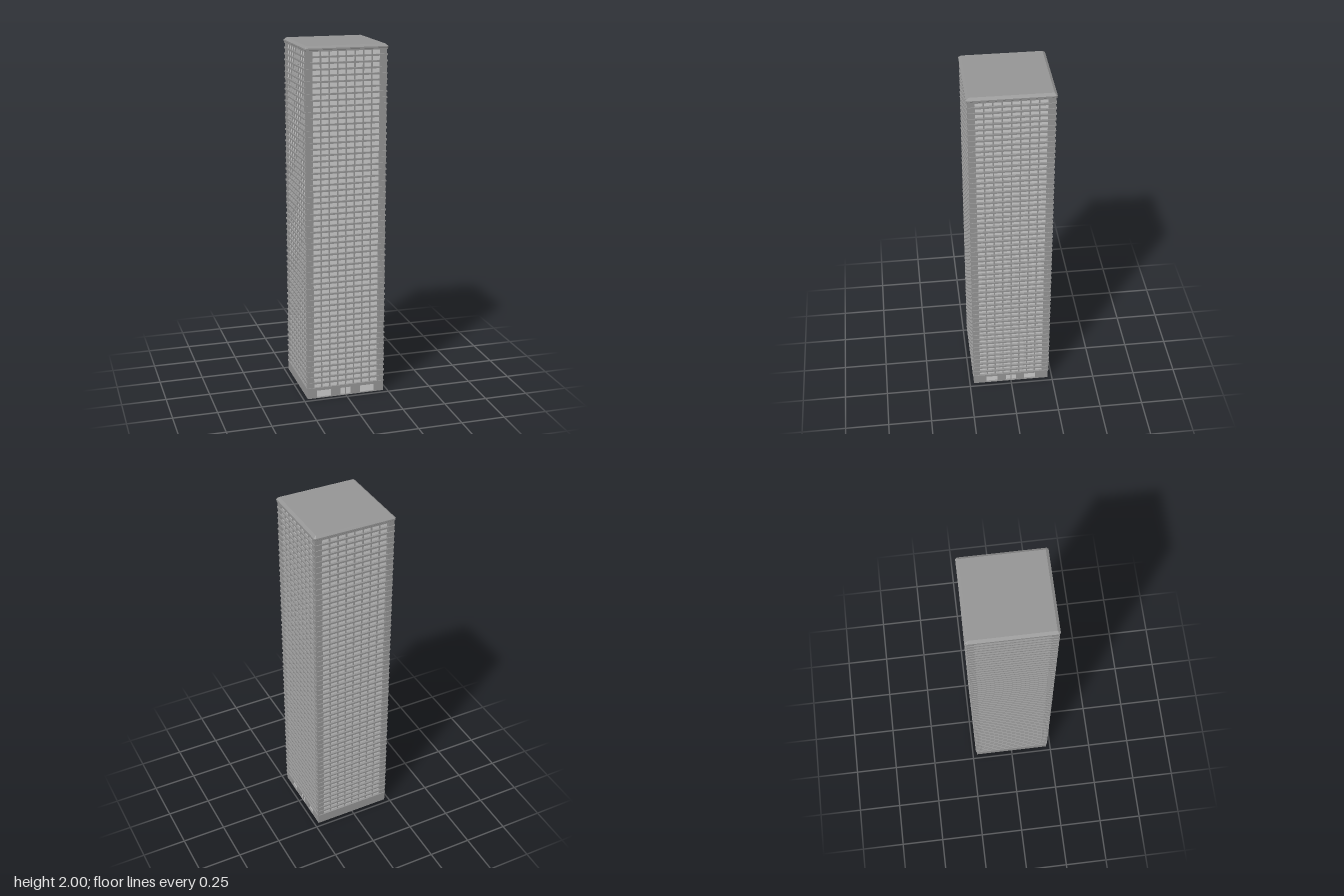
import * as THREE from 'three';
import { ConvexGeometry } from 'three/addons/geometries/ConvexGeometry.js';

const FLOORS = 58, COLUMNS = 8;
const BASE_TOP = 0.06, ROOF = 1.975;
const HALF = 0.225, GLASS = 0.217, BAY = 0.19;

export function createModel() {
  const tower = new THREE.Group();
  tower.name = 'tower';
  const stone = new THREE.MeshStandardMaterial({ color: 0x949494, flatShading: true });
  const glass = new THREE.MeshStandardMaterial({ color: 0xcccccc, flatShading: true });

  function add(parent, name, geometry, material, x = 0, y = 0, z = 0) {
    const mesh = new THREE.Mesh(geometry, material);
    mesh.name = name;
    mesh.position.set(x, y, z);
    parent.add(mesh);
    return mesh;
  }
  const box = (w, h, d) => new THREE.BoxGeometry(w, h, d);

  // Glazed core behind the facades
  const shaft = ROOF - BASE_TOP, middle = (ROOF + BASE_TOP) / 2;
  add(tower, 'glassCore', box(GLASS * 2, shaft, GLASS * 2), glass, 0, middle, 0);

  // Corner piers
  const pierWidth = HALF - BAY;
  for (const sx of [-1, 1]) for (const sz of [-1, 1]) {
    const c = BAY + pierWidth / 2;
    add(tower, 'cornerPier', box(pierWidth, shaft, pierWidth), stone, sx * c, middle, sz * c);
  }

  // Ground floor wall; openings are [centre, width] along the wall
  function groundWall(side, openings) {
    const top = 0.046, sill = 0.004;
    const shape = new THREE.Shape();
    shape.moveTo(-HALF, 0).lineTo(HALF, 0).lineTo(HALF, BASE_TOP).lineTo(-HALF, BASE_TOP).closePath();
    for (const [c, w] of openings) {
      const hole = new THREE.Path();
      hole.moveTo(c - w / 2, sill).lineTo(c - w / 2, top).lineTo(c + w / 2, top).lineTo(c + w / 2, sill).closePath();
      shape.holes.push(hole);
      add(side, 'groundGlass', box(w, top - sill, 0.002), glass, c, (top + sill) / 2, HALF - 0.011);
    }
    const wall = new THREE.ExtrudeGeometry(shape, { depth: 0.012, bevelEnabled: false });
    add(side, 'groundWall', wall, stone, 0, 0, HALF - 0.012);
    // Frames of the middle entrance
    if (openings.length) for (const x of [-0.038, 0, 0.038]) {
      add(side, 'doorPost', box(x ? 0.014 : 0.005, top, 0.008), stone, x, top / 2, HALF - 0.007);
    }
  }

  // Storey bands and mullions, the same on all four sides
  const pitch = shaft / FLOORS, step = BAY * 2 / COLUMNS;
  const band = box(0.446, 0.0095, 0.015);
  const mullion = box(0.007, shaft, 0.006);
  const wallOpenings = [
    [[-0.128, 0.085], [0, 0.09], [0.128, 0.085]],
    [[-0.115, 0.068], [0, 0.09], [0.115, 0.068]],
    [], []
  ];
  ['frontSide', 'leftSide', 'backSide', 'rightSide'].forEach((name, i) => {
    const side = new THREE.Group();
    side.name = name;
    side.rotation.y = i * Math.PI / 2;
    for (let f = 0; f <= FLOORS; f++) {
      add(side, 'storeyBand', band, stone, 0, BASE_TOP + f * pitch, 0.2225);
    }
    for (let c = 0; c <= COLUMNS; c++) {
      add(side, 'mullion', mullion, stone, -BAY + c * step, middle, GLASS + 0.002);
    }
    groundWall(side, wallOpenings[i]);
    tower.add(side);
  });

  // Floor slab
  add(tower, 'baseSlab', box(0.44, 0.004, 0.44), stone, 0, 0.002, 0);

  // Chamfered roof cap
  const points = [];
  for (const sx of [-1, 1]) for (const sz of [-1, 1]) {
    const p = (x, y, z) => points.push(new THREE.Vector3(sx * x, y, sz * z));
    p(0.217, 2, 0.217);
    for (const y of [1.98, 1.988]) { p(0.232, y, 0.224); p(0.224, y, 0.232); }
    p(0.224, 1.972, 0.224);
  }
  add(tower, 'roofCap', new ConvexGeometry(points), stone);
  return tower;
}
